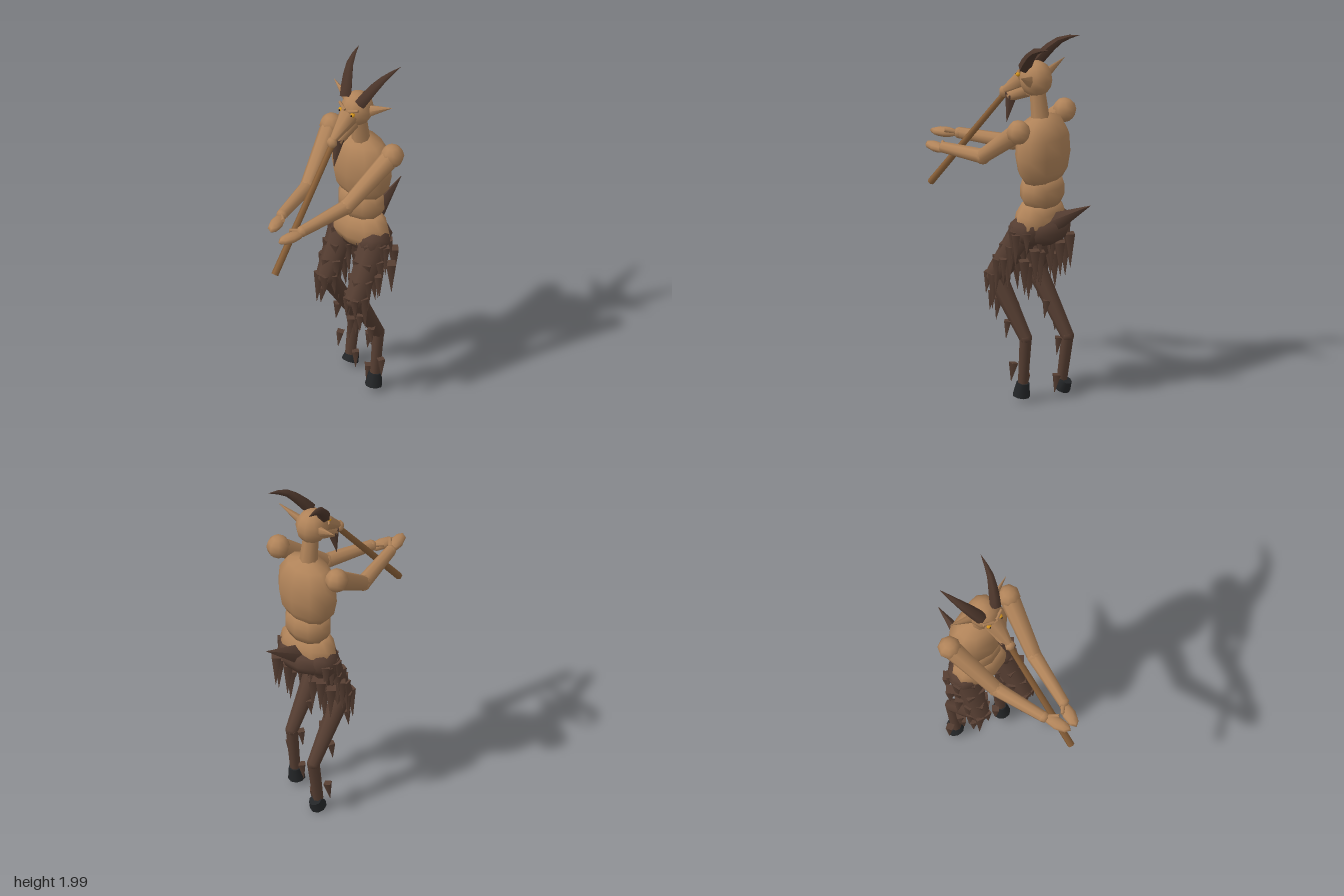
import * as THREE from 'three';

const mat = (name, color) => {
  const m = new THREE.MeshStandardMaterial({ color });
  m.name = name;
  return m;
};
const V = (x, y, z) => new THREE.Vector3(x, y, z);

export function createModel() {
  const group = new THREE.Group();
  const skin = mat('skin', 0xb08359);
  const fur = mat('fur', 0x563e32);
  const horn = mat('horn', 0x4b352a);
  const hoofMat = mat('hoof', 0x232527);
  const wood = mat('wood', 0x8a6038);
  const amber = mat('amber', 0xd6961e);
  const dark = mat('pupil', 0x1a1410);

  const add = (name, geo, m, parent = group) => {
    const mesh = new THREE.Mesh(geo, m);
    mesh.name = name;
    parent.add(mesh);
    return mesh;
  };
  // Tapered limb from point a (radius ra) to point b (radius rb)
  const limb = (name, a, b, ra, rb, m, sides = 8) => {
    const d = b.clone().sub(a);
    const mesh = add(name, new THREE.CylinderGeometry(rb, ra, d.length(), sides), m);
    mesh.position.copy(a).addScaledVector(d, 0.5);
    mesh.quaternion.setFromUnitVectors(V(0, 1, 0), d.normalize());
    return mesh;
  };
  const ball = (name, p, rx, ry, rz, m, w = 9, h = 6) => {
    const mesh = add(name, new THREE.SphereGeometry(1, w, h), m);
    mesh.scale.set(rx, ry, rz);
    mesh.position.copy(p);
    return mesh;
  };
  // Oval turned body part; profile is [radius, y] from bottom to top
  const turned = (name, profile, depth, x, z, m) => {
    const pts = profile.map(([r, y]) => new THREE.Vector2(r, y));
    const mesh = add(name, new THREE.LatheGeometry(pts, 10), m);
    mesh.scale.z = depth;
    mesh.position.set(x, 0, z);
    return mesh;
  };
  // Four-sided tuft of fur hanging down from p
  const tuft = (x, y, z, len, r, dx = 0, dz = 0) =>
    limb('furTuft', V(x, y, z), V(x + dx, y - len, z + dz), r, 0.001, fur, 4);

  // Torso
  turned('chest', [[0, 1.2], [0.12, 1.21], [0.165, 1.27], [0.183, 1.36], [0.175, 1.46], [0.125, 1.54], [0.04, 1.565], [0, 1.57]], 0.68, -0.005, -0.208, skin);
  turned('abdomen', [[0, 1.07], [0.11, 1.08], [0.137, 1.13], [0.135, 1.18], [0.115, 1.24], [0, 1.26]], 0.78, -0.005, -0.205, skin);
  turned('hips', [[0, 0.9], [0.15, 0.93], [0.18, 0.98], [0.165, 1.04], [0.125, 1.09], [0, 1.11]], 0.64, 0, -0.195, skin);
  ball('furRump', V(0, 0.95, -0.22), 0.165, 0.09, 0.125, fur, 10);
  limb('tail', V(0, 0.99, -0.29), V(0, 1.13, -0.515), 0.055, 0.001, fur, 5);
  limb('neck', V(0, 1.52, -0.2), V(0, 1.72, -0.175), 0.05, 0.04, skin);

  // Head, long nose, mouth and beard
  ball('head', V(0, 1.765, -0.168), 0.086, 0.097, 0.09, skin, 10, 8);
  limb('nose', V(0, 1.755, -0.1), V(0, 1.645, 0.05), 0.056, 0.014, skin, 7);
  ball('noseTip', V(0, 1.65, 0.035), 0.03, 0.032, 0.027, skin, 7, 5);
  limb('jaw', V(0, 1.70, -0.12), V(0, 1.635, -0.005), 0.045, 0.03, skin, 7);
  limb('beard', V(0, 1.65, -0.015), V(0, 1.485, 0.018), 0.035, 0.001, fur, 5);

  // Tapering curved horn made from a tube
  const hornGeo = (s) => {
    const curve = new THREE.CatmullRomCurve3([
      V(s * 0.05, 1.83, -0.13), V(s * 0.085, 1.905, -0.185),
      V(s * 0.118, 1.965, -0.25), V(s * 0.145, 1.998, -0.345)]);
    const n = 5, sides = 6;
    const geo = new THREE.TubeGeometry(curve, n, 0.034, sides);
    const pos = geo.attributes.position, p = V(0, 0, 0);
    for (let i = 0; i < pos.count; i++) {
      const t = Math.floor(i / (sides + 1)) / n;
      const c = curve.getPointAt(t);
      p.fromBufferAttribute(pos, i).sub(c).multiplyScalar(1 - 0.98 * t ** 1.8).add(c);
      pos.setXYZ(i, p.x, p.y, p.z);
    }
    geo.computeVertexNormals();
    return geo;
  };

  for (const s of [-1, 1]) {
    add('horn', hornGeo(s), horn);
    const ear = limb('ear', V(s * 0.065, 1.768, -0.18), V(s * 0.2, 1.832, -0.212), 0.036, 0.001, skin, 6);
    ear.scale.z = 0.55;
    ball('eye', V(s * 0.04, 1.782, -0.083), 0.015, 0.012, 0.012, amber, 8, 6);
    ball('pupil', V(s * 0.041, 1.782, -0.072), 0.005, 0.006, 0.004, dark, 6, 4);
    limb('brow', V(s * 0.012, 1.792, -0.08), V(s * 0.065, 1.81, -0.1), 0.011, 0.008, skin, 5);

    // Arms reach forward to the pipe, one hand above the other
    const shoulder = V(s * 0.21, 1.535, -0.203), elbow = V(s * 0.135, 1.322, 0.075);
    const wrist = s < 0 ? V(-0.062, 1.335, 0.36) : V(0.078, 1.295, 0.36);
    const palm = s < 0 ? V(-0.034, 1.333, 0.435) : V(0.058, 1.28, 0.425);
    ball('shoulder', shoulder, 0.063, 0.065, 0.063, skin, 8, 6);
    limb('upperArm', shoulder, elbow, 0.054, 0.04, skin);
    ball('elbow', elbow, 0.043, 0.043, 0.043, skin, 8, 6);
    limb('forearm', elbow, wrist, 0.04, 0.03, skin);
    ball('wrist', wrist, 0.032, 0.03, 0.03, skin, 7, 5);
    const hand = ball('hand', palm, 0.036, 0.026, 0.08, skin, 8, 6);
    hand.rotation.y = s < 0 ? 0.3 : -0.25;
    limb('thumb', wrist, V(palm.x - s * 0.03, palm.y + 0.022, palm.z - 0.02), 0.014, 0.01, skin, 6);
  }

  // Long wooden pipe
  limb('pipe', V(0, 1.665, 0.01), V(0.006, 1.055, 0.495), 0.016, 0.019, wood, 6);

  // Goat legs: the left one steps forward
  const legs = [
    { s: 1, hip: V(0.11, 0.955, -0.18), knee: V(0.128, 0.68, -0.005), hock: V(0.125, 0.365, -0.19), ankle: V(0.12, 0.115, -0.17), toe: V(0.12, 0.04, -0.158) },
    { s: -1, hip: V(-0.11, 0.955, -0.2), knee: V(-0.125, 0.68, -0.07), hock: V(-0.12, 0.325, -0.285), ankle: V(-0.12, 0.08, -0.25), toe: V(-0.122, 0.03, -0.272) },
  ];
  for (const { s, hip, knee, hock, ankle, toe } of legs) {
    ball('hipFur', hip, 0.085, 0.085, 0.095, fur);
    limb('thigh', hip, knee, 0.085, 0.058, fur);
    ball('knee', knee, 0.058, 0.055, 0.058, fur);
    limb('shin', knee, hock, 0.055, 0.034, fur);
    ball('hock', hock, 0.035, 0.035, 0.035, fur, 8, 5);
    limb('cannon', hock, ankle, 0.033, 0.028, fur);
    const hoof = limb('hoof', ankle, toe, 0.034, 0.046, hoofMat, 9);
    if (s < 0) hoof.rotation.set(Math.PI - 0.45, 0, 0);

    // Shaggy tufts ringed around thigh and knee
    for (let row = 0; row < 4; row++) {
      const c = hip.clone().lerp(knee, row * 0.32);
      const r = 0.072 - row * 0.009;
      for (let k = 0; k < 6; k++) {
        const a = (k + row * 0.5) * Math.PI / 3 + s * 0.4;
        const len = 0.15 + 0.04 * Math.sin(k * 2.3 + row * 1.7);
        tuft(c.x + r * Math.cos(a), c.y + 0.01, c.z + r * Math.sin(a), len, 0.03,
          0.012 * Math.cos(a), 0.015 * Math.sin(a));
      }
    }
    // Long fringe behind the thigh
    for (const [dx, y, z] of [[0.05, 0.88, -0.27], [-0.02, 0.85, -0.255], [0.075, 0.82, -0.22], [0.01, 0.77, -0.2]]) {
      tuft(hip.x + s * dx, y, z, 0.19, 0.036, 0, -0.005);
    }
    // Sparse tufts down the lower leg: position along shin or cannon and side offset
    for (const [a, b, t, dx, dz] of [
      [knee, hock, 0.3, 0.035, 0.06], [knee, hock, 0.5, -0.04, 0.0], [knee, hock, 0.75, 0.03, 0.045],
      [hock, ankle, 0.05, -0.035, 0.03], [hock, ankle, 0.55, 0.055, 0.03], [hock, ankle, 0.9, -0.04, 0.01]]) {
      const p = a.clone().lerp(b, t);
      tuft(p.x + s * dx, p.y + 0.01, p.z + dz, 0.1, 0.026, s * dx * 0.2, 0.008);
    }
  }
  // Outer hip tufts
  tuft(0.19, 0.955, -0.17, 0.18, 0.03);
  tuft(0.2, 0.81, -0.1, 0.14, 0.026);
  tuft(-0.19, 0.83, -0.15, 0.18, 0.032, -0.012);
  tuft(-0.17, 0.97, -0.2, 0.2, 0.03);
  tuft(0.1, 0.55, 0.0, 0.13, 0.028, 0, 0.015);
  return group;
}
